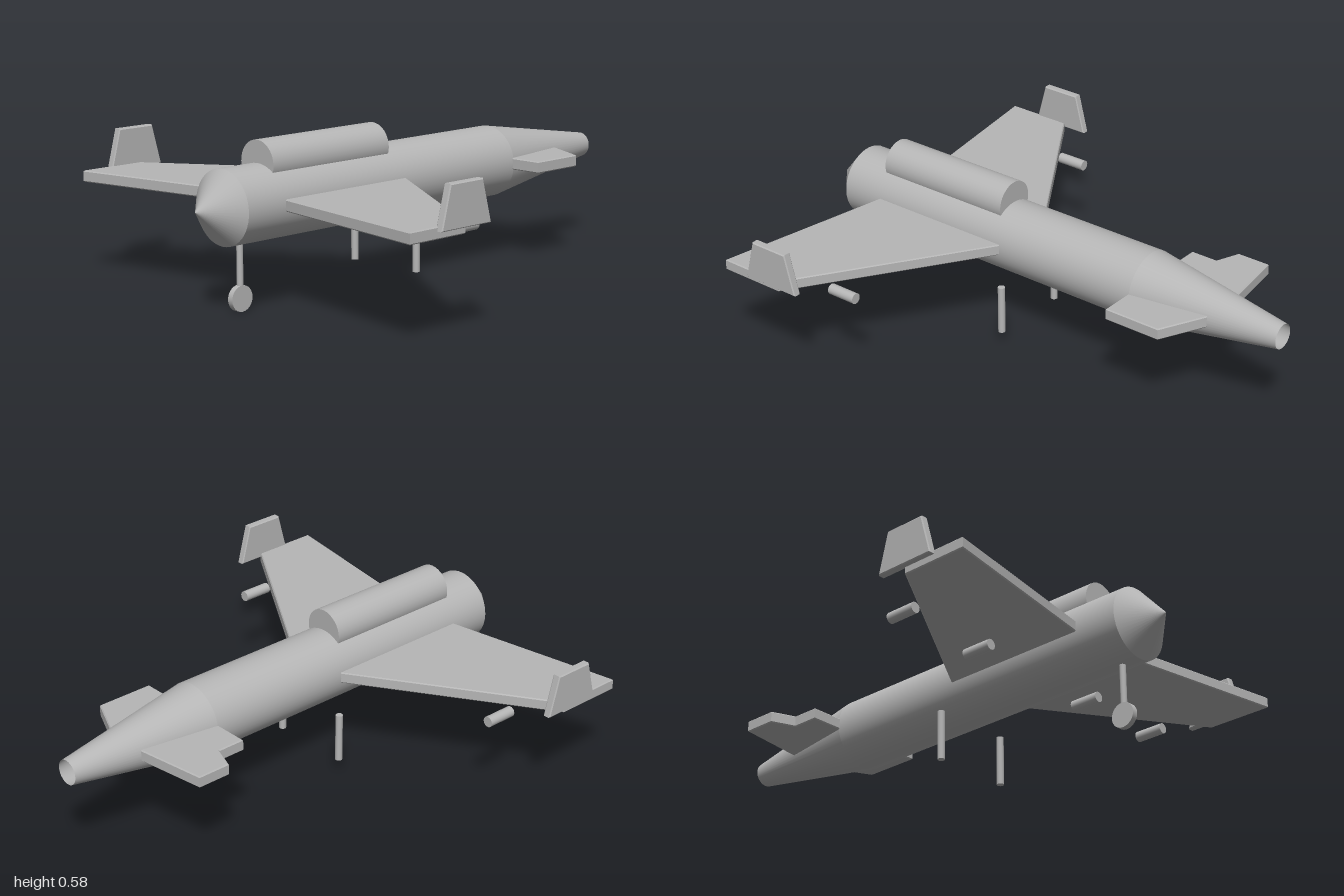
import * as THREE from 'three';

const AXIS_Y = 0.37;   // height of the fuselage centre line
const BEVEL = 0.004;

export function createModel() {
  const model = new THREE.Group();
  model.name = 'aircraft';
  const grey = new THREE.MeshStandardMaterial({ color: 0xb6b6b6, side: THREE.DoubleSide });
  grey.name = 'grey';

  const add = (name, geometry, x = 0, y = 0, z = 0) => {
    const mesh = new THREE.Mesh(geometry, grey);
    mesh.name = name;
    mesh.position.set(x, y, z);
    model.add(mesh);
    return mesh;
  };

  // Round section along x, from x0 (radius r0) to x1 (radius r1)
  const tubeX = (name, x0, x1, r0, r1, y, z, sides, open) => {
    const g = new THREE.CylinderGeometry(r1, r0, x1 - x0, sides, 1, open);
    g.rotateZ(-Math.PI / 2);
    return add(name, g, (x0 + x1) / 2, y, z);
  };

  // Upright strut
  const strut = (name, x, z, y0, y1, r) =>
    add(name, new THREE.CylinderGeometry(r, r, y1 - y0, 16), x, (y0 + y1) / 2, z);

  // Plate with slightly bevelled edges, centred on its thickness
  const plate = (points, thickness) => {
    const shape = new THREE.Shape(points.map(([a, b]) => new THREE.Vector2(a, b)));
    const g = new THREE.ExtrudeGeometry(shape, {
      depth: thickness - 2 * BEVEL, bevelEnabled: true, bevelSegments: 1,
      bevelThickness: BEVEL, bevelSize: BEVEL, bevelOffset: -BEVEL,
    });
    return g.translate(0, 0, BEVEL - thickness / 2);
  };

  // Horizontal plate from an [x, z] outline
  const flatPlate = (name, outline, thickness, y) => {
    const g = plate(outline.map(([x, z]) => [x, -z]), thickness);
    g.rotateX(-Math.PI / 2);
    return add(name, g, 0, y, 0);
  };

  // Fuselage: pointed end, straight barrel, open taper
  tubeX('tailCone', -1, -0.88, 0, 0.133, AXIS_Y, 0, 48, true);
  tubeX('fuselage', -0.88, 0.45, 0.133, 0.133, AXIS_Y, 0, 48, true);
  tubeX('noseTaper', 0.45, 1, 0.133, 0.046, AXIS_Y, 0, 48, true);

  // Engine tube on the back
  tubeX('dorsalEngine', -0.72, -0.165, 0.081, 0.081, 0.502, 0, 32, false);

  // Foreplanes, different on each side
  flatPlate('foreplaneLarge', [
    [0.445, 0], [0.445, -0.26], [0.55, -0.26], [0.585, -0.35], [0.713, -0.35], [0.762, 0],
  ], 0.044, 0.373);
  flatPlate('foreplaneSmall', [
    [0.445, 0.05], [0.445, 0.257], [0.665, 0.257], [0.764, 0.05],
  ], 0.044, 0.373);

  for (const side of [1, -1]) {
    // Swept wing
    flatPlate('wing', [
      [-0.045, 0], [-0.57, 0.817 * side], [-0.827, 0.817 * side], [-0.69, 0],
    ], 0.042, 0.372);

    // Upright wing-tip fin
    add('tipFin', plate([
      [-0.702, 0.377], [-0.468, 0.377], [-0.508, 0.527], [-0.662, 0.527],
    ], 0.03), 0, 0, 0.823 * side);

    // Pods under the wing
    for (const z of [0.287, 0.658]) {
      tubeX('pod', -0.463, -0.348, 0.02, 0.02, 0.331, z * side, 20, false);
    }

    // Main gear leg
    strut('mainGearLeg', -0.102, 0.155 * side, 0.052, 0.238, 0.0135);
  }

  // Single gear leg with wheel
  strut('wheelLeg', -0.805, 0, 0.09, 0.25, 0.0115);
  const wheel = new THREE.CylinderGeometry(0.046, 0.046, 0.022, 24);
  wheel.rotateX(Math.PI / 2);
  add('wheel', wheel, -0.805, 0.048, 0);

  return model;
}
